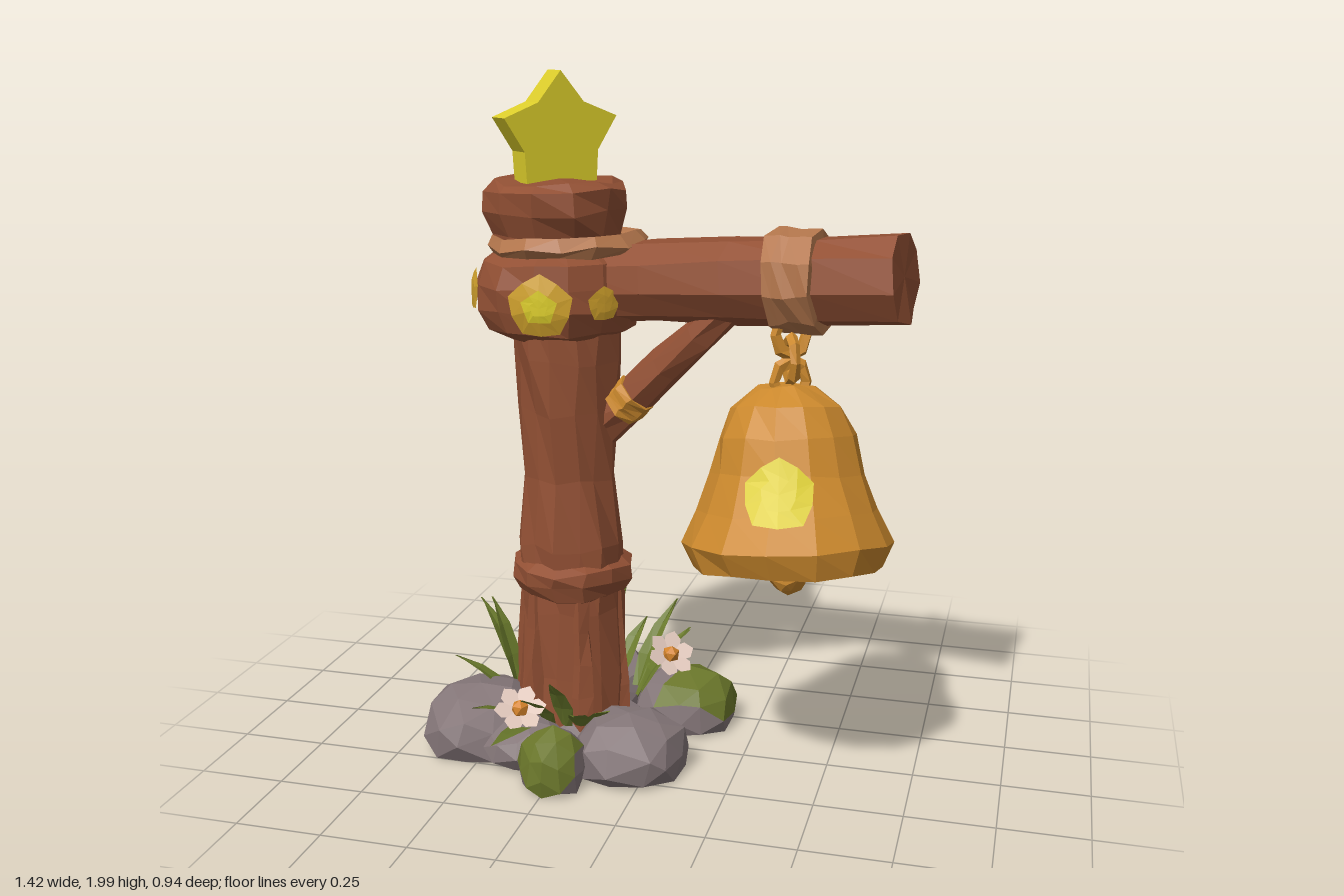
import * as THREE from 'three';

const material = (name, color, side = THREE.FrontSide) => {
  const m = new THREE.MeshStandardMaterial({ color, side });
  m.name = name;
  return m;
};
const wood = material('wood', 0x925034);
const rope = material('rope', 0xb3764c);
const gold = material('gold', 0xcc892d);
const paleGold = material('paleGold', 0xd0a12c, THREE.DoubleSide);
const yellow = material('yellow', 0xdccd2b, THREE.DoubleSide);
const stone = material('stone', 0x857779);
const moss = material('moss', 0x69752a);
const leaf = material('leaf', 0x6a7a2c, THREE.DoubleSide);
const petal = material('petal', 0xdfc6ba, THREE.DoubleSide);
const pollen = material('pollen', 0xd4832b);

const v = (x, y, z) => new THREE.Vector3(x, y, z);

// Repeatable value from -1 to 1 for a position
function noise(x, y, z, seed) {
  const r = n => Math.round(n * 1000);
  const s = Math.sin(r(x) * 0.127 + r(y) * 0.311 + r(z) * 0.747 + seed * 13.7) * 43758.545;
  return (s - Math.floor(s)) * 2 - 1;
}

// Hand-carved look: nudged vertices with faceted normals
function carve(geometry, amount, seed = 1) {
  const g = geometry.index ? geometry.toNonIndexed() : geometry;
  const p = g.attributes.position;
  for (let i = 0; i < p.count; i++) {
    const [x, y, z] = [p.getX(i), p.getY(i), p.getZ(i)];
    p.setXYZ(i, x + amount * noise(x, y, z, seed), y + amount * noise(x, y, z, seed + 1),
      z + amount * noise(x, y, z, seed + 2));
  }
  g.computeVertexNormals();
  return g;
}

function add(parent, name, geometry, mat, x = 0, y = 0, z = 0) {
  const mesh = new THREE.Mesh(geometry, mat);
  mesh.name = name;
  mesh.position.set(x, y, z);
  parent.add(mesh);
  return mesh;
}

const lathe = (profile, sides) =>
  new THREE.LatheGeometry(profile.map(([r, y]) => new THREE.Vector2(r, y)), sides);

// Log between two points
function log(parent, name, a, b, r0, r1, sides, mat, rough, seed) {
  const dir = b.clone().sub(a);
  const g = carve(new THREE.CylinderGeometry(r1, r0, dir.length(), sides, 4), rough, seed);
  const mesh = add(parent, name, g, mat, ...a.clone().add(b).multiplyScalar(0.5).toArray());
  mesh.quaternion.setFromUnitVectors(v(0, 1, 0), dir.normalize());
}

function starPoints(outer, inner) {
  return Array.from({ length: 10 }, (_, i) => {
    const a = Math.PI / 2 + i * Math.PI / 5, r = i % 2 ? inner : outer;
    return [Math.cos(a) * r, Math.sin(a) * r];
  });
}

// Thin patch wrapped around a turned surface
function wrapPatch(profile, angle, y0, outer, inner, lift) {
  const radius = y => {
    for (let i = 1; i < profile.length; i++) {
      const [r0, a] = profile[i - 1], [r1, b] = profile[i];
      if (y >= a && y <= b) return r0 + (r1 - r0) * (y - a) / (b - a);
    }
    return profile[0][0];
  };
  const r0 = radius(y0);
  const place = ([px, py]) => {
    const r = radius(y0 + py) + lift, a = angle + px / r0;
    return [Math.sin(a) * r, y0 + py, Math.cos(a) * r];
  };
  const pts = starPoints(outer, inner), pos = [];
  pts.forEach((p, i) => {
    const q = pts[(i + 1) % pts.length];
    const [h, k] = [p, q].map(([x, y]) => [x / 2, y / 2]);
    for (const c of [[0, 0], h, k, h, p, q, h, q, k]) pos.push(...place(c));
  });
  const g = new THREE.BufferGeometry();
  g.setAttribute('position', new THREE.Float32BufferAttribute(pos, 3));
  g.computeVertexNormals();
  return g;
}

// Domed, flat-bottomed boulder; faces looking along mossDir are mossy
function rock(parent, x, z, sx, top, sz, seed, mossDir) {
  const g = carve(new THREE.IcosahedronGeometry(1, 1), 0.1, seed);
  g.scale(sx, top - 0.07, sz);
  const p = g.attributes.position;
  for (let i = 0; i < p.count; i++) p.setY(i, Math.max(p.getY(i), -0.055));
  g.computeVertexNormals();
  for (let i = 0; i < p.count; i += 3) {
    const n = new THREE.Vector3().fromBufferAttribute(g.attributes.normal, i);
    g.addGroup(i, 3, mossDir && n.dot(mossDir) > 0.62 ? 1 : 0);
  }
  add(parent, 'rock', g, [stone, moss], x, 0.07, z);
}

// Creased blade from base to tip, rising first and then bending outward
function blade(parent, base, tip, width) {
  const elbow = v(base.x * 0.7 + tip.x * 0.3, base.y * 0.4 + tip.y * 0.6, base.z * 0.7 + tip.z * 0.3);
  const curve = new THREE.QuadraticBezierCurve3(base, elbow, tip);
  const out = v(tip.x - base.x, 0, tip.z - base.z).normalize();
  const side = v(out.z, 0, -out.x);
  const pos = [], index = [];
  [0.5, 1, 0.75, 0.02].forEach((w, i) => {
    const p = curve.getPoint(i / 3);
    const mid = p.clone().addScaledVector(out, 0.008);
    pos.push(...p.clone().addScaledVector(side, -w * width).toArray(), ...mid.toArray(),
      ...p.clone().addScaledVector(side, w * width).toArray());
    if (i) for (const k of [0, 1]) {
      const a = (i - 1) * 3 + k;
      index.push(a, a + 4, a + 1, a, a + 3, a + 4);
    }
  });
  const g = new THREE.BufferGeometry();
  g.setAttribute('position', new THREE.Float32BufferAttribute(pos, 3));
  g.setIndex(index);
  add(parent, 'grassBlade', carve(g, 0), leaf);
}

function flower(parent, x, y, z, rx, ry) {
  const group = new THREE.Group();
  group.name = 'flower';
  for (let i = 0; i < 6; i++) {
    const g = new THREE.CircleGeometry(0.032, 6);
    g.scale(1.2, 0.9, 1).translate(0.04, 0, 0).rotateY(-0.2).rotateZ(i * Math.PI / 3);
    add(group, 'petal', g, petal);
  }
  add(group, 'flowerCentre', carve(new THREE.IcosahedronGeometry(0.027, 0), 0), pollen, 0, 0, 0.01);
  group.position.set(x, y, z);
  group.rotation.set(rx, ry, 0, 'YXZ');
  parent.add(group);
}

export function createModel() {
  const model = new THREE.Group();
  model.name = 'bellPost';

  // Post trunk, bark slivers at its foot, and ring
  const trunk = lathe([[0, 0.08], [0.165, 0.08], [0.155, 0.25], [0.15, 0.45], [0.15, 0.65], [0.138, 0.85],
    [0.145, 1.05], [0.155, 1.2], [0.165, 1.35], [0, 1.4]], 14);
  add(model, 'post', carve(trunk, 0.01, 4), wood, -0.285, 0, -0.02);
  for (let i = 0; i < 6; i++) {
    const t = i * Math.PI / 3 + 0.5, at = (r, y) => v(-0.285 + Math.sin(t) * r, y, -0.02 + Math.cos(t) * r);
    log(model, 'barkSliver', at(0.15, 0.1), at(0.13, 0.5), 0.038, 0.03, 5, wood, 0.005, 30 + i);
  }
  add(model, 'lowerRing', carve(lathe([[0.13, 0.48], [0.165, 0.5], [0.182, 0.54], [0.178, 0.58], [0.13, 0.61]], 12),
    0.008, 5), wood, -0.285, 0, -0.02);

  // Post head: collar with gold patches, rope and cap
  const collar = [[0.14, 1.26], [0.215, 1.29], [0.235, 1.35], [0.235, 1.42], [0.215, 1.48], [0.15, 1.52]];
  add(model, 'collar', carve(lathe(collar, 14), 0.007, 6), wood, -0.31, 0, -0.02);
  for (const [angle, y, size] of [[0.1, 1.375, 0.092], [-1.05, 1.4, 0.06], [0.85, 1.38, 0.05], [3.0, 1.39, 0.085], [-1.95, 1.4, 0.06]])
    add(model, 'collarPatch', wrapPatch(collar, angle, y, size, size * 0.88, 0.013), paleGold, -0.31, 0, -0.02);
  for (const [angle, y] of [[0.1, 1.375], [3.0, 1.39]])
    add(model, 'collarPatchCentre', wrapPatch(collar, angle, y, 0.05, 0.04, 0.018), yellow, -0.31, 0, -0.02);
  const ring = carve(new THREE.TorusGeometry(0.2, 0.028, 5, 14).rotateX(Math.PI / 2), 0.008, 7);
  add(model, 'headRope', ring, rope, -0.285, 1.525, -0.02).rotation.z = 0.04;
  add(model, 'cap', carve(lathe([[0.16, 1.48], [0.175, 1.55], [0.198, 1.62], [0.2, 1.68], [0.17, 1.7], [0, 1.705]], 11),
    0.009, 8), wood, -0.31, 0, 0);

  // Star finial
  const star = new THREE.ExtrudeGeometry(new THREE.Shape(starPoints(0.18, 0.118).map(p => new THREE.Vector2(...p))),
    { depth: 0.08, bevelEnabled: false });
  star.translate(0, 0, -0.04);
  add(model, 'star', star, yellow, -0.3, 1.82, 0.02).rotation.y = Math.PI / 4;

  // Arm, brace and strap
  const a = v(-0.25, 1.41, -0.02), b = v(0.69, 1.48, 0.14);
  log(model, 'arm', a, b, 0.114, 0.124, 9, wood, 0.008, 9);
  const c = v(-0.19, 0.99, -0.01), d = v(0.22, 1.39, 0.06);
  log(model, 'brace', c, d, 0.06, 0.048, 7, wood, 0.006, 10);
  log(model, 'braceBand', c.clone().lerp(d, 0.17), c.clone().lerp(d, 0.29), 0.064, 0.062, 7, gold, 0.004, 11);
  log(model, 'strap', a.clone().lerp(b, 0.63), a.clone().lerp(b, 0.765), 0.142, 0.14, 10, rope, 0.007, 12);

  // Chain links
  [[1.32, 0.5], [1.25, 2.0], [1.19, 0.4]].forEach(([y, turn]) => {
    const g = carve(new THREE.TorusGeometry(0.044, 0.016, 5, 8).scale(1, 1.3, 1), 0.002, 13);
    add(model, 'chainLink', g, gold, 0.39, y, 0.125).rotation.y = turn;
  });

  // Bell, hung from its crown and tipped forward
  const bell = new THREE.Group();
  bell.name = 'bell';
  bell.position.set(0.375, 1.155, 0.1);
  bell.rotation.set(-0.2, 0, 0.06);
  model.add(bell);
  const outer = [[0.255, -0.48], [0.287, -0.41], [0.245, -0.32], [0.21, -0.22], [0.186, -0.12], [0.15, -0.04], [0.08, 0.015], [0, 0.025]];
  const inner = [[0, -0.08], [0.12, -0.1], [0.17, -0.25], [0.2, -0.38], [0.235, -0.47]];
  add(bell, 'bellShell', carve(lathe([...inner, ...outer], 14), 0.006, 14), gold);
  add(bell, 'bellPatch', wrapPatch(outer, 0.08, -0.26, 0.095, 0.085, 0.013), yellow);
  add(bell, 'bellPatch', wrapPatch(outer, 3.3, -0.265, 0.098, 0.07, 0.013), yellow);
  log(bell, 'clapperRod', v(0, -0.08, 0), v(0, -0.48, 0), 0.02, 0.02, 6, gold, 0, 1);
  add(bell, 'clapper', carve(new THREE.IcosahedronGeometry(0.06, 1), 0.006, 15), gold, 0, -0.49, -0.01);

  // Rocks round and under the foot
  rock(model, -0.29, -0.3, 0.195, 0.2, 0.165, 21);
  rock(model, 0.03, -0.2, 0.155, 0.19, 0.16, 22, v(0.7, 0.8, 0.2));
  rock(model, -0.06, 0.17, 0.18, 0.2, 0.16, 23);
  rock(model, -0.53, 0.09, 0.175, 0.2, 0.2, 24);
  rock(model, -0.36, 0.2, 0.12, 0.15, 0.11, 25);
  rock(model, -0.24, 0.31, 0.1, 0.19, 0.11, 26, v(0, 1, 1));
  rock(model, -0.46, -0.17, 0.1, 0.16, 0.1, 27);
  rock(model, -0.27, -0.01, 0.2, 0.14, 0.18, 28);

  // Grass blades: base x and z, then tip
  for (const [bx, bz, tx, ty, tz] of [
    [-0.48, -0.1, -0.63, 0.37, -0.16], [-0.47, -0.06, -0.57, 0.4, -0.1], [-0.47, 0.0, -0.64, 0.25, 0.03],
    [-0.45, -0.15, -0.5, 0.33, -0.29], [-0.42, -0.17, -0.53, 0.28, -0.24], [-0.38, -0.19, -0.4, 0.27, -0.31],
    [-0.26, -0.2, -0.22, 0.38, -0.38], [-0.31, -0.2, -0.31, 0.26, -0.36], [-0.2, -0.19, -0.14, 0.29, -0.33],
    [-0.13, -0.17, -0.04, 0.36, -0.33], [-0.11, -0.14, 0.02, 0.3, -0.25], [-0.11, -0.1, 0.04, 0.33, -0.16],
    [-0.4, 0.13, -0.48, 0.22, 0.31], [-0.36, 0.16, -0.38, 0.17, 0.43], [-0.3, 0.15, -0.33, 0.26, 0.31],
    [-0.25, 0.15, -0.26, 0.3, 0.27], [-0.21, 0.14, -0.17, 0.24, 0.33], [-0.18, 0.13, -0.09, 0.23, 0.25]])
    blade(model, v(bx, 0.12, bz), v(tx, ty, tz), 0.032);

  // Flowers
  flower(model, 0.0, 0.27, -0.09, -0.8, 0.8);
  flower(model, -0.36, 0.2, 0.25, -0.95, 0.5);
  return model;
}
